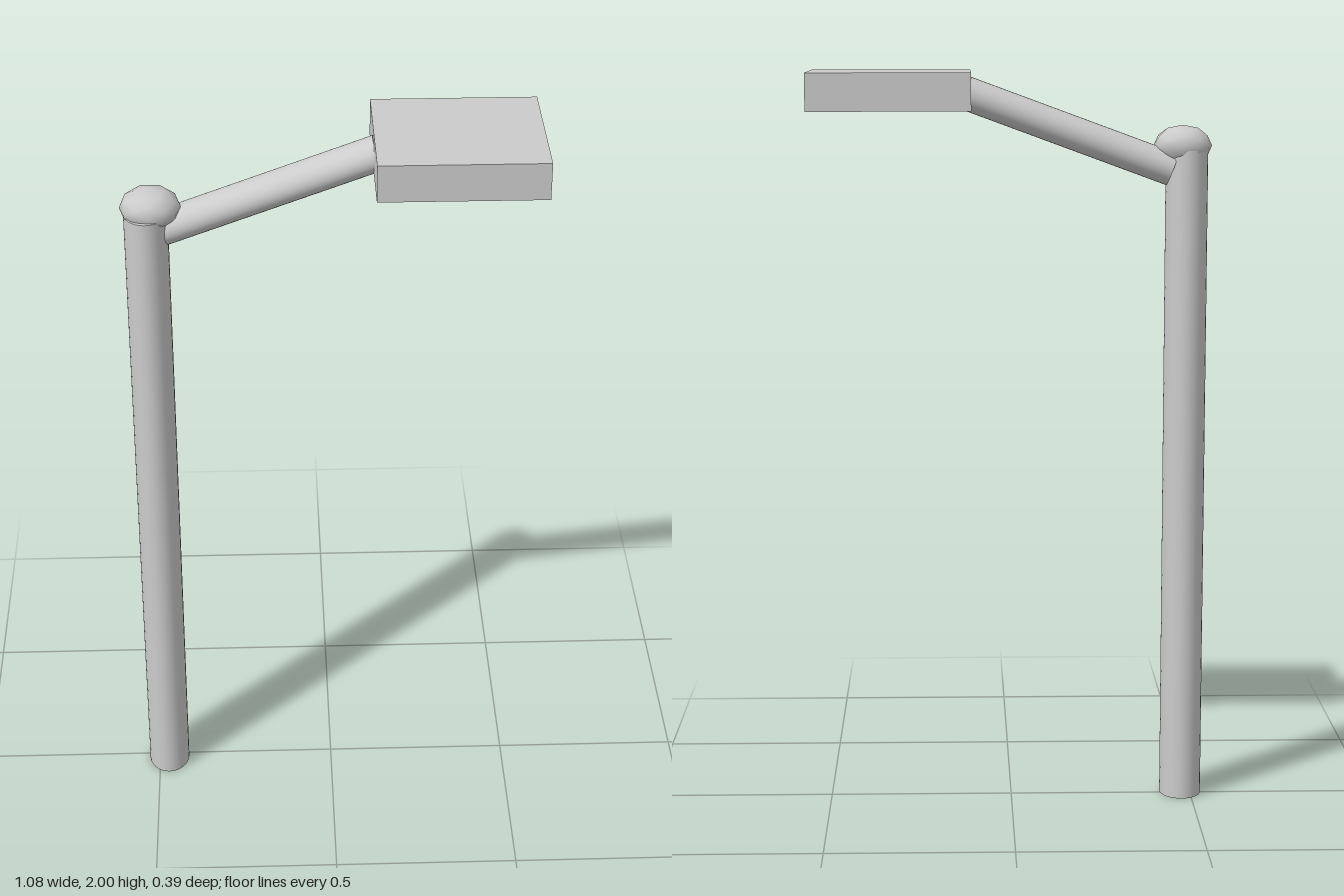
import * as THREE from 'three';

export function createModel() {
  const model = new THREE.Group();
  const material = new THREE.MeshStandardMaterial({ color: 0xcccccc });

  function add(name, geometry, x, y, z) {
    const mesh = new THREE.Mesh(geometry, material);
    mesh.name = name;
    mesh.position.set(x, y, z);
    model.add(mesh);
    return mesh;
  }

  // Upright pole, slightly oval in section
  const poleHeight = 1.79;
  add('pole', new THREE.CylinderGeometry(1, 1, poleHeight, 32).scale(0.057, 1, 0.073),
    -0.473, poleHeight / 2, 0.012);

  // Flattened, coarse ball joint capping the pole
  const ball = new THREE.IcosahedronGeometry(1, 1).scale(0.079, 0.055, 0.074);
  add('ballJoint', ball, -0.461, 1.802, 0.007);

  // Sloping oval arm from the joint to the lamp head
  const start = new THREE.Vector3(-0.431, 1.739, -0.002);
  const end = new THREE.Vector3(0.121, 1.942, -0.002);
  const direction = end.clone().sub(start);
  const arm = add('arm', new THREE.CylinderGeometry(1, 1, direction.length(), 32).scale(0.045, 1, 0.053),
    (start.x + end.x) / 2, (start.y + end.y) / 2, start.z);
  arm.rotation.z = Math.atan2(direction.y, direction.x) - Math.PI / 2;

  // Flat rectangular lamp head
  add('lampHead', new THREE.BoxGeometry(0.432, 0.1, 0.386), 0.324, 1.95, -0.002);

  return model;
}
